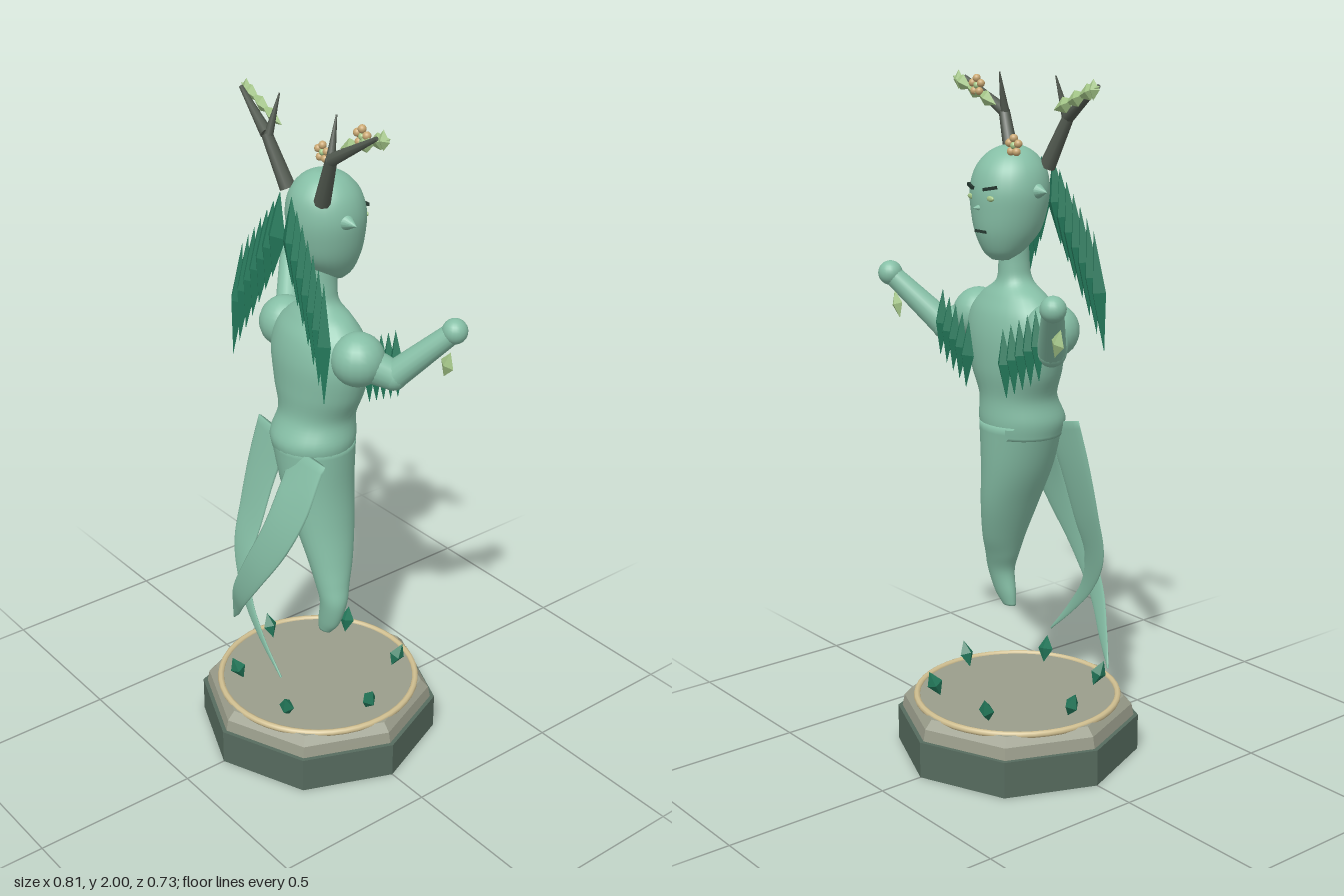
import * as THREE from 'three';

const mat = (name, color, flatShading = false) => {
  const m = new THREE.MeshStandardMaterial({ color, flatShading });
  m.name = name;
  return m;
};
const V = (x, y, z) => new THREE.Vector3(x, y, z);

export function createModel() {
  const skin = mat('sage skin', 0x86bfa6);
  const leaf = mat('deep green leaf', 0x23785a, true);
  const sprout = mat('pale green leaf', 0xa6c88a, true);
  const bark = mat('dark bark', 0x525a50);
  const stone = mat('dark green stone', 0x566b5e, true);
  const slab = mat('grey slab', 0x9a9d8b, true);
  const gold = mat('pale gold', 0xd0bf90);
  const petal = mat('tan petal', 0xc9a873);
  const ink = mat('dark face line', 0x24362e);

  const model = new THREE.Group();
  model.name = 'forestSpirit';

  const add = (name, geometry, material, x = 0, y = 0, z = 0) => {
    const m = new THREE.Mesh(geometry, material);
    m.name = name;
    m.position.set(x, y, z);
    model.add(m);
    return m;
  };

  // Smooth skin over elliptical sections [x, y, z, radius across, radius in z]
  const loft = (name, rows, material, follow = false, steps = 6, seg = 28) => {
    const path = new THREE.CatmullRomCurve3(rows.map(r => V(r[0], r[1], r[2])), false, 'catmullrom', 0.5);
    const radii = new THREE.CatmullRomCurve3(rows.map(r => V(r[3], r[4], 0)), false, 'catmullrom', 0.5);
    const n = (rows.length - 1) * steps;
    const pos = [], idx = [];
    for (let i = -1; i <= n + 1; i++) {
      const t = Math.min(Math.max(i / n, 0), 1);
      const c = path.getPoint(t), r = radii.getPoint(t);
      const open = i >= 0 && i <= n ? 1 : 0; // end rows close to a point
      const dir = follow ? path.getTangent(t) : V(0, 1, 0);
      const side = dir.cross(V(0, 0, 1)).normalize();
      for (let j = 0; j < seg; j++) {
        const a = j / seg * Math.PI * 2;
        const p = c.clone().addScaledVector(side, Math.cos(a) * Math.max(r.x, 0) * open);
        p.z += Math.sin(a) * Math.max(r.y, 0) * open;
        pos.push(p.x, p.y, p.z);
        if (i > n) continue;
        const k = (i + 1) * seg, j2 = (j + 1) % seg;
        idx.push(k + j, k + seg + j, k + j2, k + seg + j, k + seg + j2, k + j2);
      }
    }
    const g = new THREE.BufferGeometry();
    g.setAttribute('position', new THREE.Float32BufferAttribute(pos, 3));
    g.setIndex(idx);
    g.computeVertexNormals();
    return add(name, g, material);
  };

  // Tapered limb between two points
  const limb = (name, a, b, ra, rb, material, sides = 16) => {
    const d = b.clone().sub(a);
    const m = add(name, new THREE.CylinderGeometry(rb, ra, d.length(), sides), material);
    m.position.copy(a).addScaledVector(d, 0.5);
    m.quaternion.setFromUnitVectors(V(0, 1, 0), d.normalize());
    return m;
  };

  // Diamond leaf with half sizes w, h, d
  const shard = (name, material, x, y, z, w, h, d) =>
    add(name, new THREE.OctahedronGeometry(1).scale(w, h, d), material, x, y, z);

  const ball = (name, r, material, x, y, z) =>
    add(name, new THREE.SphereGeometry(r, 20, 14), material, x, y, z);

  // Octagonal plinth
  add('plinth', new THREE.CylinderGeometry(0.365, 0.365, 0.11, 8), stone, 0, 0.055, 0);
  add('plinthStep', new THREE.CylinderGeometry(0.345, 0.352, 0.035, 8), slab, 0, 0.1275, 0);
  add('plinthTop', new THREE.CylinderGeometry(0.322, 0.345, 0.025, 8), slab, 0, 0.1575, 0);
  add('plinthRing', new THREE.TorusGeometry(0.303, 0.01, 8, 48).rotateX(Math.PI / 2), gold, 0, 0.168, 0);
  for (let i = 0; i < 6; i++) {
    const a = i * Math.PI / 3;
    const s = shard('plinthShard', leaf, Math.cos(a) * 0.25, 0.212, Math.sin(a) * 0.25, 0.024, 0.042, 0.024);
    s.rotation.set(0, -a, -0.4, 'YXZ');
  }

  // Torso and neck
  loft('torso', [
    [0, 0.98, 0.018, 0.12, 0.115], [0, 1.03, 0.018, 0.13, 0.122], [0, 1.1, 0.003, 0.122, 0.106],
    [0, 1.18, -0.004, 0.155, 0.112], [0, 1.27, -0.006, 0.175, 0.113], [0, 1.34, -0.008, 0.16, 0.1],
    [0, 1.39, -0.01, 0.115, 0.075], [0, 1.43, -0.01, 0.055, 0.052], [0, 1.48, -0.012, 0.042, 0.046],
    [0, 1.56, -0.015, 0.042, 0.046]
  ], skin);

  // Single tapering lower body, swinging to one side
  loft('lowerBody', [
    [0.1, 0.41, 0.05, 0.025, 0.016], [0.115, 0.45, 0.047, 0.04, 0.026], [0.128, 0.52, 0.042, 0.045, 0.038],
    [0.112, 0.58, 0.034, 0.052, 0.052], [0.09, 0.65, 0.024, 0.06, 0.071], [0.055, 0.76, 0.018, 0.076, 0.095],
    [0.022, 0.88, 0.018, 0.1, 0.111], [0, 1.02, 0.018, 0.128, 0.122]
  ], skin);

  // Two long leaf trains that cross
  loft('trainRight', [
    [0.09, 1.01, 0.105, 0.077, 0.008], [0.088, 0.88, 0.16, 0.072, 0.008], [0.05, 0.75, 0.198, 0.06, 0.007],
    [-0.03, 0.61, 0.218, 0.048, 0.006], [-0.12, 0.48, 0.208, 0.036, 0.005], [-0.2, 0.375, 0.165, 0.022, 0.004],
    [-0.262, 0.295, 0.13, 0.003, 0.003]
  ], skin, true, 6, 16);
  loft('trainLeft', [
    [-0.1, 1.02, 0.085, 0.074, 0.008], [-0.13, 0.88, 0.11, 0.066, 0.008], [-0.143, 0.74, 0.14, 0.058, 0.007],
    [-0.142, 0.61, 0.175, 0.046, 0.006], [-0.085, 0.49, 0.202, 0.026, 0.005], [0, 0.39, 0.213, 0.014, 0.004],
    [0.09, 0.295, 0.21, 0.003, 0.003]
  ], skin, true, 6, 16);

  // Head, chin towards -z
  loft('head', [
    [0, 1.495, -0.06, 0.03, 0.025], [0, 1.52, -0.05, 0.058, 0.06], [0, 1.57, -0.036, 0.087, 0.094],
    [0, 1.63, -0.03, 0.105, 0.108], [0, 1.69, -0.027, 0.112, 0.112], [0, 1.745, -0.024, 0.1, 0.1],
    [0, 1.785, -0.022, 0.071, 0.07], [0, 1.806, -0.02, 0.034, 0.034], [0, 1.81, -0.02, 0.005, 0.005]
  ], skin);
  const nose = add('nose', new THREE.ConeGeometry(0.016, 0.04, 12), skin, 0, 1.645, -0.138);
  nose.rotation.x = -Math.PI / 2;
  const mouth = add('mouth', new THREE.BoxGeometry(0.045, 0.008, 0.009), ink, 0, 1.578, -0.13);
  mouth.rotation.x = 0.25;

  for (const s of [-1, 1]) {
    // Face and ears
    const ear = add('ear', new THREE.ConeGeometry(0.032, 0.06, 16), skin, s * 0.117, 1.69, -0.015);
    ear.rotation.z = -s * Math.PI / 2;
    const eye = ball('eye', 1, sprout, s * 0.042, 1.672, -0.13);
    eye.scale.set(0.015, 0.008, 0.006);
    const brow = add('brow', new THREE.BoxGeometry(0.042, 0.009, 0.009), ink, s * 0.042, 1.7, -0.131);
    brow.rotation.set(0, -s * 0.35, s * 0.18);

    // Arms
    const shoulder = V(s * 0.165, 1.31, -0.01), elbow = V(s * 0.24, 1.27, -0.075), hand = V(s * 0.368, 1.42, -0.18);
    ball('shoulder', 0.077, skin, ...shoulder);
    limb('upperArm', shoulder, elbow, 0.055, 0.042, skin);
    ball('elbow', 0.042, skin, ...elbow);
    limb('forearm', elbow, hand, 0.041, 0.029, skin);
    ball('hand', 0.036, skin, ...hand);
    const cuff = shard('wristLeaf', sprout, s * 0.364, 1.325, -0.16, 0.026, 0.042, 0.014);
    cuff.rotation.z = -s * 0.3;

    // Chest leaves
    for (let i = 0; i < 5; i++) {
      const c = shard('chestLeaf', leaf, s * (0.085 + i * 0.033), 1.215 + i * 0.018, -0.115 + i * 0.002, 0.03, 0.1, 0.02);
      c.rotation.z = s * 0.08;
    }

    // Hanging hair of overlapping leaves
    for (let i = 0; i < 7; i++) {
      const h = shard('hairLeaf', leaf, s * (0.035 + i * 0.027), 1.645 - i * 0.04, 0.116 + i * 0.003,
        0.042 - i * 0.002, 0.125 + i * 0.008, 0.022);
      h.rotation.set(-0.06, 0, s * 0.08);
    }

    // Antlers with sprouting leaves
    const fork = V(s * 0.14, 1.89, 0.066);
    limb('antlerStem', V(s * 0.075, 1.75, 0.045), fork, 0.023, 0.016, bark, 8);
    limb('antlerBranch', fork, V(s * 0.29, 1.98, 0.04), 0.018, 0.006, bark, 8);
    limb('antlerProng', V(s * 0.135, 1.88, 0.066), V(s * 0.122, 2, 0.035), 0.014, 0.002, bark, 8);
    for (let i = 0; i < 3; i++) {
      const l = shard('antlerLeaf', sprout, s * (0.17 + i * 0.052), 1.925 + i * 0.02, 0.025 - i * 0.003, 0.048, 0.023, 0.014);
      l.rotation.z = s * 0.35;
    }
    shard('antlerTipLeaf', sprout, s * 0.292, 1.972, 0.02, 0.025, 0.028, 0.012);
  }

  // Small five-petal blossoms
  for (const [x, y, z] of [[-0.095, 1.818, -0.09], [0.205, 1.96, 0.018]]) {
    ball('blossomHeart', 0.01, sprout, x, y, z);
    for (let i = 0; i < 5; i++) {
      const a = Math.PI / 2 + i * Math.PI * 0.4;
      ball('blossomPetal', 0.0115, petal, x + Math.cos(a) * 0.02, y + Math.sin(a) * 0.02, z);
    }
  }
  return model;
}
